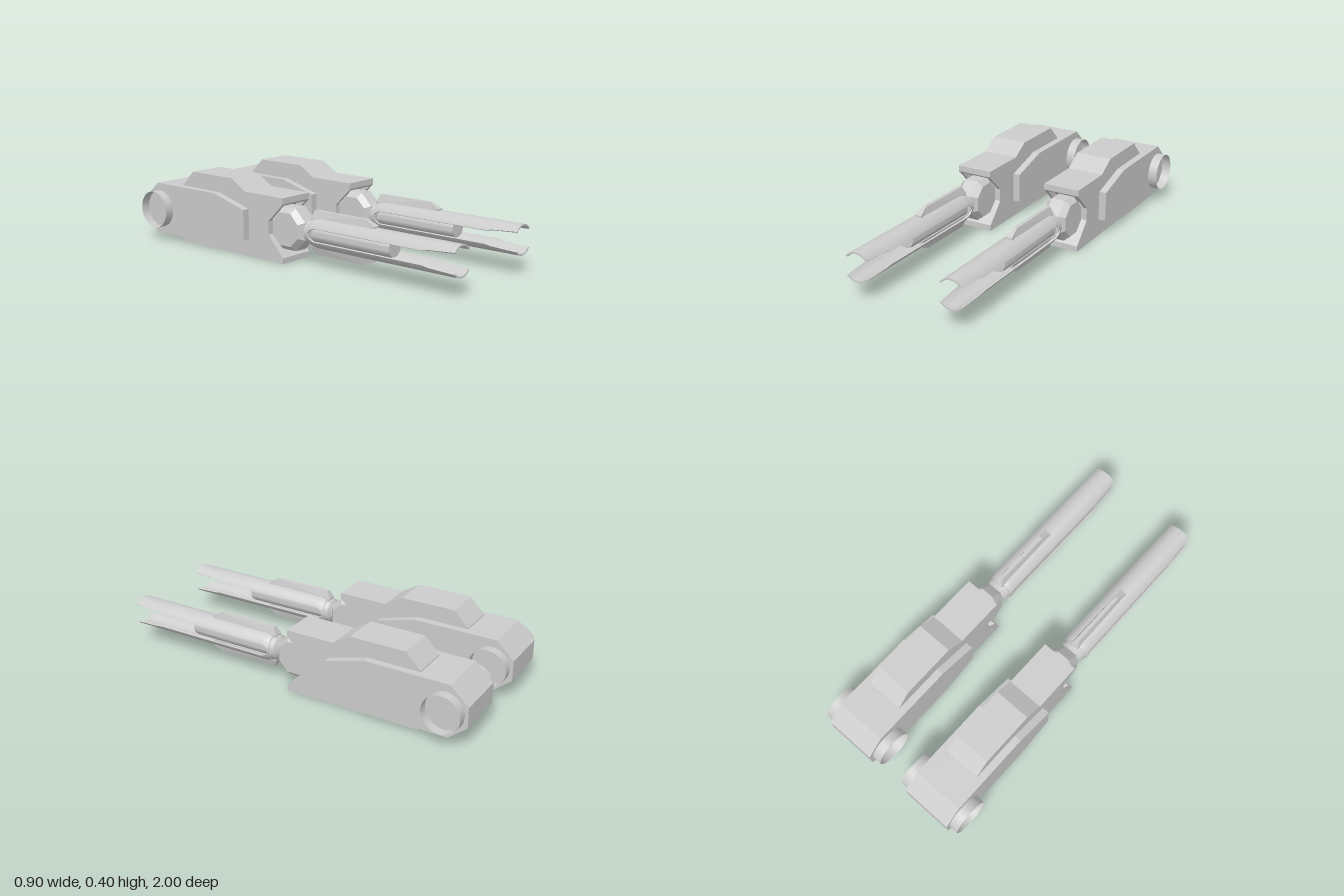
import * as THREE from 'three';
import { toCreasedNormals } from 'three/addons/utils/BufferGeometryUtils.js';

const flat = new THREE.MeshStandardMaterial({ color: 0xcccccc, flatShading: true });
const smooth = new THREE.MeshStandardMaterial({ color: 0xcccccc });
const open = new THREE.MeshStandardMaterial({ color: 0xcccccc, side: THREE.DoubleSide });

const AXIS_Y = 0.17; // height of the barrel axis

function add(parent, name, geometry, material) {
  const mesh = new THREE.Mesh(geometry, material);
  mesh.name = name;
  parent.add(mesh);
  return mesh;
}

// Side profile of [z, y] points, extruded across x from x0 to x1
function slab(profile, x0, x1) {
  const shape = new THREE.Shape(profile.map(([z, y]) => new THREE.Vector2(z, y)));
  const geo = new THREE.ExtrudeGeometry(shape, { depth: x1 - x0, bevelEnabled: false });
  return geo.rotateY(-Math.PI / 2).translate(x1, 0, 0);
}

// Profile of [radius, z] points, turned round the z axis
function turned(profile, sides = 32) {
  const geo = new THREE.LatheGeometry(profile.map(([r, z]) => new THREE.Vector2(r, z)), sides);
  return toCreasedNormals(geo.rotateX(Math.PI / 2), 0.5);
}

// Curved shell along z; each station is [z, radius, half angle in degrees]
function shell(stations, thickness) {
  const n = 17, loop = 2 * n, pos = [], idx = [];
  for (const [z, r, deg] of stations) {
    const a = THREE.MathUtils.degToRad(deg);
    for (let i = 0; i < loop; i++) {
      const k = i < n ? i : loop - 1 - i;
      const t = a * (1 - (2 * k) / (n - 1));
      const rad = i < n ? r : r - thickness;
      pos.push(rad * Math.sin(t), rad * Math.cos(t), z);
    }
  }
  for (let s = 0; s < stations.length - 1; s++) {
    for (let i = 0; i < loop; i++) {
      const j = (i + 1) % loop, a = s * loop, b = a + loop;
      idx.push(a + i, a + j, b + j, a + i, b + j, b + i);
    }
  }
  const end = (stations.length - 1) * loop;
  for (let i = 0; i < n - 1; i++) {
    const o = i, p = i + 1, q = loop - 2 - i, r = loop - 1 - i;
    idx.push(end + o, end + p, end + q, end + o, end + q, end + r);
    idx.push(o, q, p, o, r, q);
  }
  const geo = new THREE.BufferGeometry();
  geo.setAttribute('position', new THREE.Float32BufferAttribute(pos, 3));
  geo.setIndex(idx);
  return toCreasedNormals(geo, 0.5);
}

// Rib that narrows toward its outer edge
function ribGeometry() {
  const geo = slab([[0.118, 0.05], [0.118, 0.072], [0.137, 0.113], [0.455, 0.113], [0.515, 0.085], [0.515, 0.05]], -1, 1);
  const p = geo.attributes.position;
  for (let i = 0; i < p.count; i++) {
    const t = THREE.MathUtils.clamp((p.getY(i) - 0.07) / 0.043, 0, 1);
    p.setX(i, p.getX(i) * THREE.MathUtils.lerp(0.024, 0.01, t));
  }
  return geo;
}

function createGun() {
  const gun = new THREE.Group();

  // Narrow housing: two cheeks with a front notch, and a core with a deeper notch
  const roof = [[0, 0], [0, 0.03]];
  const back = [[0, 0.305], [0, 0.337], [-0.265, 0.337], [-0.36, 0.395], [-0.655, 0.395], [-0.735, 0.315], [-0.735, 0]];
  const notch = [[-0.1, 0.137], [-0.1, 0.205]];
  const deepNotch = [[-0.01, 0.04], [-0.03, 0.018], [-0.13, 0.125], [-0.13, 0.217], [-0.03, 0.317], [-0.01, 0.295]];
  const cheek = [...roof, ...notch, ...back];
  add(gun, 'housingCore', slab([...roof, ...deepNotch, ...back], -0.08, 0.08), flat);
  add(gun, 'housingCheekLeft', slab(cheek, 0.08, 0.0985), flat);
  add(gun, 'housingCheekRight', slab(cheek, -0.0985, -0.08), flat);

  // Wide rear body
  add(gun, 'rearBody', slab([
    [-0.24, 0.092], [-0.24, 0.25], [-0.455, 0.31], [-0.905, 0.31],
    [-1, 0.22], [-1, 0.112], [-0.905, 0.033], [-0.455, 0.033],
  ], -0.1375, 0.1375), flat);

  // Open pivot collars on both sides
  for (const side of [1, -1]) {
    const collar = new THREE.CylinderGeometry(0.1, 0.1, 0.05, 40, 1, true).rotateZ(Math.PI / 2);
    const mesh = add(gun, side > 0 ? 'pivotCollarLeft' : 'pivotCollarRight', collar, open);
    mesh.position.set(side * 0.1625, AXIS_Y, -0.883);
  }

  // Eight-sided chamfered joint
  const k = 1 / Math.cos(Math.PI / 8);
  const jointProfile = [[0, -0.066], [0.085 * k, -0.066], [0.11 * k, -0.036], [0.11 * k, 0.036], [0.085 * k, 0.066], [0, 0.066]];
  const joint = new THREE.LatheGeometry(jointProfile.map(([r, y]) => new THREE.Vector2(r, y)), 8, Math.PI / 8);
  add(gun, 'joint', joint.rotateZ(Math.PI / 2), flat).position.set(0, AXIS_Y, -0.015);

  // Barrel: collar, inner core and two shells with ribs
  const barrel = new THREE.Group();
  barrel.name = 'barrel';
  barrel.position.y = AXIS_Y;
  gun.add(barrel);
  add(barrel, 'barrelCollar', turned([[0, 0.07], [0.045, 0.07], [0.045, 0.095], [0.064, 0.108], [0.068, 0.145], [0, 0.145]]), smooth);
  add(barrel, 'barrelCore', turned([[0.05, 0.14], [0.05, 0.61], [0.046, 0.625], [0, 0.625]]), smooth);
  const stations = [[0.135, 0.071, 88], [0.148, 0.074, 74], [0.175, 0.078, 64], [0.83, 0.078, 64], [0.86, 0.078, 58], [1, 0.078, 50]];
  for (const name of ['upper', 'lower']) {
    const half = new THREE.Group();
    half.name = name + 'BarrelHalf';
    if (name === 'lower') half.rotation.z = Math.PI;
    add(half, name + 'Shell', shell(stations, 0.008), smooth);
    add(half, name + 'Rib', ribGeometry(), flat);
    barrel.add(half);
  }
  return gun;
}

export function createModel() {
  const model = new THREE.Group();
  model.name = 'twinGuns';
  for (const side of [1, -1]) {
    const gun = createGun();
    gun.name = side > 0 ? 'leftGun' : 'rightGun';
    gun.position.x = side * 0.262;
    model.add(gun);
  }
  return model;
}
